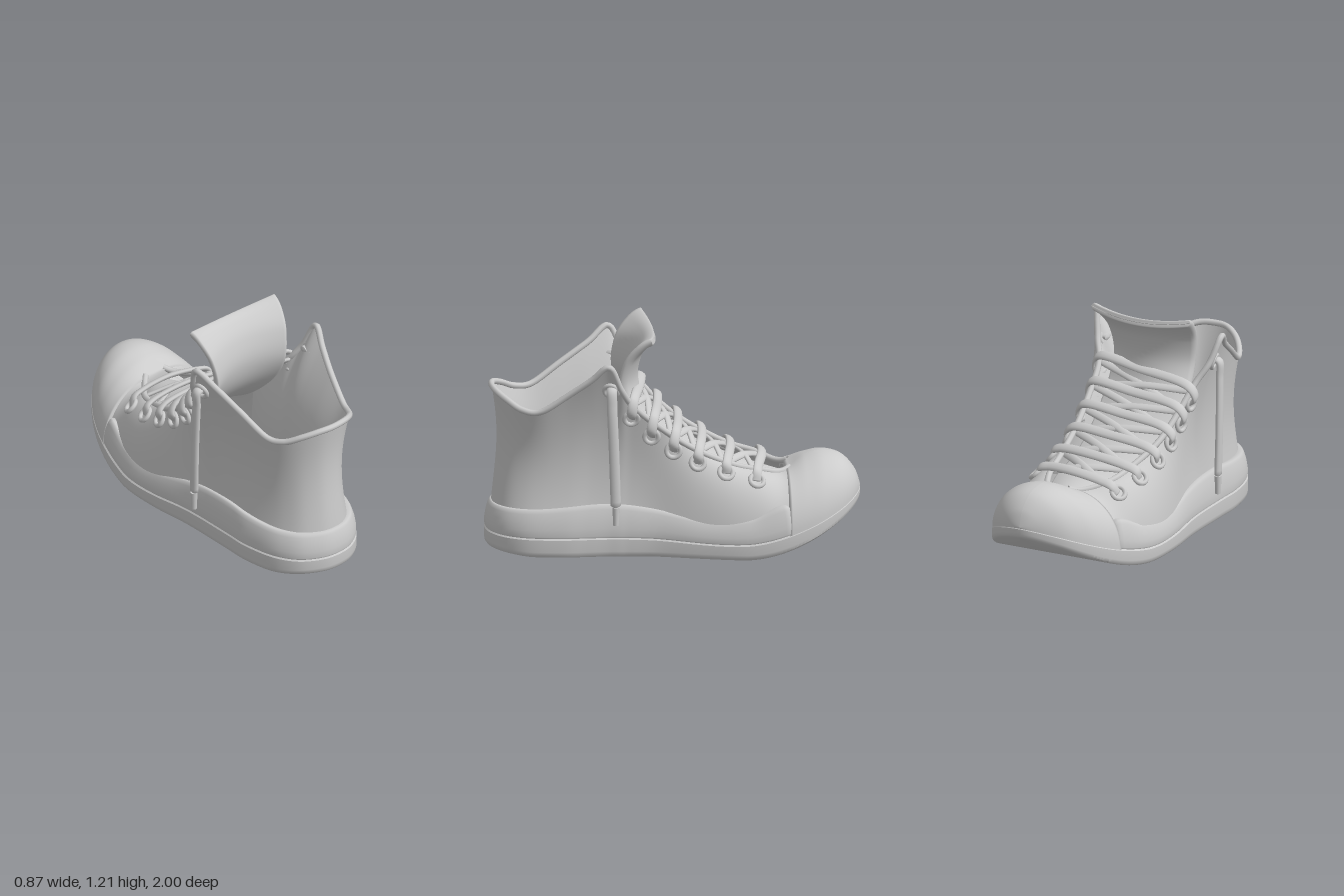
import * as THREE from 'three';
import { toCreasedNormals } from 'three/addons/utils/BufferGeometryUtils.js';

const V = (x, y, z) => new THREE.Vector3(x, y, z);
const { lerp, smoothstep } = THREE.MathUtils;
const mat = new THREE.MeshStandardMaterial({ color: 0xcccccc, side: THREE.DoubleSide });

// Stations heel to toe: z, outline left/right x, top edge left/right x, top edge y
const STATIONS = [
  [1.0, -.03, -.03, -.03, -.03, .885],
  [.985, -.12, .07, -.11, .06, .88],
  [.93, -.22, .16, -.19, .14, .85],
  [.85, -.285, .22, -.25, .205, .81],
  [.75, -.325, .255, -.29, .245, .81],
  [.6, -.35, .275, -.335, .285, .91],
  [.48, -.35, .275, -.375, .325, 1.0],
  [.38, -.35, .275, -.42, .36, 1.08],
  [.31, -.35, .28, -.385, .33, .945],
  [.24, -.35, .285, -.33, .285, .84],
  [.1, -.355, .305, -.295, .265, .72],
  [-.1, -.375, .36, -.255, .245, .58],
  [-.3, -.375, .41, -.19, .23, .485],
  [-.45, -.345, .43, -.14, .21, .445],
  [-.58, -.31, .43, -.03, .16, .42],
  [-.7, -.265, .41, .08, .08, .48],
  [-.8, -.21, .375, .08, .08, .5],
  [-.9, -.125, .31, .09, .09, .475],
  [-.97, -.01, .215, .1, .1, .4],
  [-1.0, .1, .1, .1, .1, .31],
];
const END = STATIONS.length - 1;
const swap = r => [r[0], r[2], r[1], r[4], r[3], r[5]];

// Smooth interpolation through rows of numbers
function sample(rows, t, before, after) {
  const n = rows.length - 1, i = Math.min(Math.floor(t), n - 1), f = t - i;
  const a = i ? rows[i - 1] : before, d = i + 2 > n ? after : rows[i + 2];
  return rows[i].map((b, k) => {
    const c = rows[i + 1][k], m0 = (c - a[k]) / 2, m1 = (d[k] - b) / 2;
    return b + f * (m0 + f * (3 * (c - b) - 2 * m0 - m1 + f * (2 * (b - c) + m0 + m1)));
  });
}
const station = t => sample(STATIONS, t, swap(STATIONS[1]), swap(STATIONS[END - 1]));
function tOf(z) {
  let a = 0, b = END;
  for (let i = 0; i < 40; i++) { const m = (a + b) / 2; if (station(m)[0] > z) a = m; else b = m; }
  return a;
}

// Sole heights along the shoe, with toe spring
const spring = z => Math.max(0, (-z - .36) / .64) ** 1.75;
const bottomY = z => .255 * spring(z) + .015 * smoothstep(z, .75, 1);
const soleTopY = z => .105 - .02 * Math.exp(-(((z + .25) / .3) ** 2)) + .21 * spring(z);
function bandTopY(z) {
  const y = .25 + .035 * Math.exp(-(((z - .4) / .3) ** 2)) - .045 * Math.exp(-(((z + .22) / .25) ** 2));
  return lerp(soleTopY(z) + .02, y + .05 * smoothstep(-z, .4, .6), smoothstep(z, -.72, -.6));
}

// Grid of points to a surface; closed joins the last column to the first
function loft(rows, closed = false) {
  const n = rows[0].length, idx = [];
  for (let i = 0; i < rows.length - 1; i++)
    for (let j = 0; j < (closed ? n : n - 1); j++) {
      const a = i * n + j, b = i * n + (j + 1) % n, c = a + n, d = b + n;
      idx.push(a, b, d, a, d, c);
    }
  const g = new THREE.BufferGeometry().setFromPoints(rows.flat());
  g.setIndex(idx);
  g.computeVertexNormals();
  return g;
}

// Ring round the outline; tuck draws it further in beneath the toe cap
function ring(inset, yOf, { pinch = 1, tuck = 0 } = {}) {
  const pts = [], N = 110;
  for (let j = 0; j < 2 * N; j++) {
    const left = j >= N, t = END * (left ? 2 * N - j : j) / N;
    const [z, xl, xr] = station(t), c = (xl + xr) / 2, d = inset + tuck * smoothstep(-z, .6, .65);
    pts.push(V(c + ((left ? xl : xr) - c) * (1 - d * 3) * pinch, yOf(z), z * (1 - d)));
  }
  return pts;
}

// Point on the upper: side -1/1, v from the sole (0) to the top edge (1)
function upper(t, side, v, given, lift = 0) {
  const [z, xl, xr, tl, tr, ty] = station(t), c = (xl + xr) / 2;
  const inset = given ?? lerp(.016, .03, smoothstep(z, -.3, .4));
  const xs = c + ((side < 0 ? xl : xr) - c) * (1 - 3 * inset), xe = side < 0 ? tl : tr;
  const round = smoothstep(-z, -.3, .4), h = smoothstep(z, -.2, .5), y0 = soleTopY(z) - .01;
  const rise = lerp(v, Math.sin(v * Math.PI / 2), round);
  const across = lerp(v * v, 1 - Math.cos(v * Math.PI / 2), round);
  const waist = h * Math.sin(Math.PI * v ** 1.4), nip = h * Math.sin(Math.PI * v) * (side < 0 ? .14 : .19);
  const x = c + (lerp(xs, xe, across) - c) * (1 - nip);
  const shift = side < 0 ? -.07 * v * Math.exp(-(((z - .33) / .22) ** 2)) : 0;
  return V(x, lerp(y0, ty, rise) + lift, z * (1 - inset * (1 - v) - .04 * (h * v * v + waist)) + shift);
}
function upperNormal(t, side, v) {
  const p = upper(t, side, v);
  const n = upper(t + .05, side, v).sub(p).cross(upper(t, side, v + .03).sub(p)).normalize();
  return n.x * side < 0 ? n.negate() : n;
}

// Wall columns from one side round the heel to the other
function wallColumns(zEnd, inset) {
  const tEnd = tOf(zEnd), cols = [], W = 120;
  for (let i = -W; i <= W; i++)
    cols.push(Array.from({ length: 25 }, (_, j) => upper(Math.abs(i) / W * tEnd, i < 0 ? -1 : 1, j / 24, inset)));
  return cols;
}

// Flat lace swept along points; wide is the direction of its broad side
function lace(points, wide, a, b, steps = 40) {
  const curve = new THREE.CatmullRomCurve3(points), rows = [];
  for (let i = 0; i <= steps; i++) {
    const p = curve.getPoint(i / steps), T = curve.getTangent(i / steps);
    const A = wide.clone().addScaledVector(T, -wide.dot(T)).normalize(), B = T.clone().cross(A);
    const k = i === 0 || i === steps ? .05 : 1, r = [];
    for (let j = 0; j < 12; j++) {
      const q = j / 12 * Math.PI * 2;
      r.push(p.clone().addScaledVector(A, Math.cos(q) * a * k).addScaledVector(B, Math.sin(q) * b * k));
    }
    rows.push(r);
  }
  return loft(rows, true);
}

export function createModel() {
  const model = new THREE.Group();
  const add = (name, geo) => {
    const m = new THREE.Mesh(geo, mat);
    m.name = name;
    model.add(m);
    return m;
  };

  // Sole slab and the insole inside
  add('sole', toCreasedNormals(loft([
    ring(.012, bottomY, { pinch: 0 }), ring(.012, bottomY), ring(.003, z => bottomY(z) + .012), ring(0, z => bottomY(z) + .03),
    ring(0, z => soleTopY(z) - .008), ring(.006, soleTopY), ring(.006, soleTopY, { pinch: 0 }),
  ], true), .6));
  const floorY = z => soleTopY(z) + .01;
  add('insole', loft([ring(.09, floorY), ring(.09, floorY, { pinch: 0 })], true));

  // Rubber band above the sole
  const band = (inset, f) => ring(inset, z => lerp(soleTopY(z), bandTopY(z), f), { tuck: .03 });
  add('rubberBand', loft([band(.006, 0), band(.002, .06), band(.002, .3), band(.009, .6),
    band(.02, .85), band(.028, .96), band(.038, 1), band(.06, .97)], true));

  // Upper wall with its lining and bound edge
  const wall = wallColumns(-.62);
  add('upper', loft(wall));
  add('lining', loft(wallColumns(0, .1)));
  const edge = wall.filter((_, i) => i % 2 === 0).map(col => col[24]);
  add('edgeBinding', new THREE.TubeGeometry(new THREE.CatmullRomCurve3(edge), 260, .017, 8));

  // Toe cap with a turned-in back lip
  const cap = [], t0 = tOf(-.6);
  for (let i = -1; i <= 50; i++) {
    const t = lerp(t0, END, Math.max(0, i) / 50), row = [];
    for (const side of [-1, 1])
      for (let j = 0; j <= 20; j++)
        row.push(upper(t, side, (side < 0 ? j : 20 - j) / 20, i < 0 ? .045 : .002, i < 0 ? -.03 : .006));
    cap.push(row);
  }
  add('toeCap', loft(cap));

  // Tongue rows: y, z, centre x, half width
  const TONGUE = [[.38, -.64, .08, .07], [.44, -.4, .04, .17], [.51, -.2, 0, .2], [.625, 0, -.02, .225],
    [.77, .13, -.03, .24], [.92, .18, -.028, .243], [1.05, .16, -.027, .263], [1.125, .115, -.025, .288], [1.14, .085, -.024, .3]];
  const tongue = [], last = TONGUE.length - 1, thickness = { 49: .036, 50: .026, 51: .002 };
  const at = t => sample(TONGUE, t, TONGUE[0], TONGUE[last]);
  for (let i = 0; i <= 51; i++) {
    const t = Math.min(i, 50) / 50 * last, [y, z, cx, w] = at(t), p = at(Math.max(0, t - .1)), q = at(Math.min(last, t + .1));
    const len = Math.hypot(q[0] - p[0], q[1] - p[1]), ny = -(q[1] - p[1]) / len, nz = (q[0] - p[0]) / len;
    const high = smoothstep(t, 3, 5), tip = smoothstep(t, 6, 8), thick = thickness[i] ?? .042, loop = [];
    for (let j = 0; j < 48; j++) {
      const s = Math.sin(j / 24 * Math.PI), u = Math.cos(j / 24 * Math.PI), bend = u * u;
      const d = .019 + Math.sign(s) * thick / 2 * Math.min(1, Math.abs(s) * 4);
      loop.push(V(cx + w * u, y + ny * d + bend * (.032 * tip - .04 * (1 - high)), z + nz * d + bend * high * (.085 - .045 * tip)));
    }
    tongue.push(loop);
  }
  add('tongue', loft(tongue, true));

  // Eyelets
  const eyelet = (z, side, v) => {
    const t = tOf(z), p = upper(t, side, v), n = upperNormal(t, side, v);
    const m = add('eyelet', new THREE.TorusGeometry(.037, .013, 8, 24));
    m.position.copy(p).addScaledVector(n, .006);
    m.quaternion.setFromUnitVectors(V(0, 0, 1), n);
    return { p, n, top: upper(t, side, 1) };
  };
  const pairs = [-.43, -.265, -.115, .015, .135, .25].map((z, i) =>
    [-1, 1].map(s => eyelet(s < 0 ? z - .045 : z, s, .7 + .038 * i)));

  // Cross laces over the tongue, with diagonals beneath
  const slope = V(0, .57, .82), out = V(0, .82, -.57);
  const lifted = (e, h) => e.top.clone().addScaledVector(out, h);
  const over = e => e.p.clone().lerp(e.top, .5).addScaledVector(e.n, .03);
  pairs.forEach(([l, r], i) => {
    const mid = lifted(l, .046).lerp(lifted(r, .046), .5);
    add('crossLace', lace([l.p.clone().addScaledVector(l.n, -.01), over(l), lifted(l, .027), mid,
      lifted(r, .027), over(r), r.p.clone().addScaledVector(r.n, -.01)], slope, .028, .014, 60));
    if (i === pairs.length - 1) return;
    const [l2, r2] = pairs[i + 1];
    for (const [a, b] of [[l, r2], [r, l2]])
      add('diagonalLace', lace([lifted(a, -.01), lifted(a, .02).lerp(lifted(b, .02), .5), lifted(b, -.01)], slope, .022, .011));
  });

  // Loose lace ends with tips
  for (const side of [-1, 1]) {
    const e = eyelet(.37, side, .86), x = side < 0 ? -.415 : .355, z = e.p.z;
    add('looseLace', lace([e.p.clone().addScaledVector(e.n, -.02), e.p.clone().add(V(side * .035, .005, 0)),
      V(x, .85, z), V(x + side * .003, .6, z - .01), V(x, .29, z - .02)], V(0, 0, 1), .028, .018, 60));
    const tip = add('laceTip', new THREE.CylinderGeometry(.019, .015, .1, 12));
    tip.position.set(x, .25, z - .02);
  }
  return model;
}
